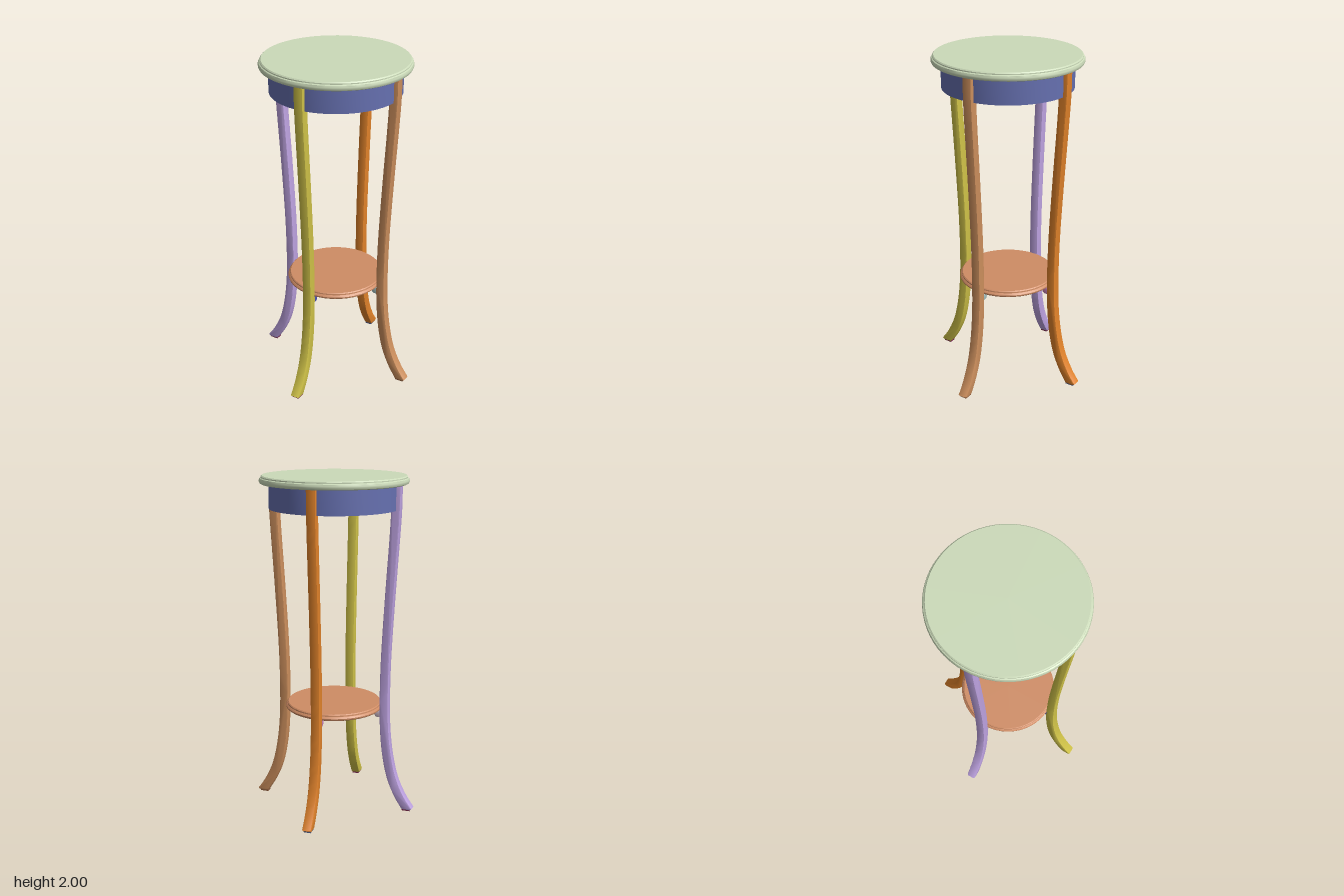
import * as THREE from 'three';
import { toCreasedNormals } from 'three/addons/utils/BufferGeometryUtils.js';

const V = (x, y) => new THREE.Vector2(x, y);
const SEGMENTS = 64;

function addMesh(parent, name, geometry, color) {
  const mesh = new THREE.Mesh(geometry, new THREE.MeshStandardMaterial({ color }));
  mesh.name = name;
  parent.add(mesh);
  return mesh;
}

// Turned part from [radius, height] pairs, listed from the bottom up
function turned(points) {
  const lathe = new THREE.LatheGeometry(points.map(([r, y]) => V(r, y)), SEGMENTS);
  return toCreasedNormals(lathe, 0.6);
}

// Side profile given a width, with chamfered long edges, centred on z = 0
function slab(points, width, bevel) {
  const geometry = new THREE.ExtrudeGeometry(new THREE.Shape(points), {
    depth: width - 2 * bevel,
    bevelEnabled: true,
    bevelThickness: bevel,
    bevelSize: bevel,
    bevelOffset: -bevel,
    bevelSegments: 2,
  });
  geometry.translate(0, 0, bevel - width / 2);
  return toCreasedNormals(geometry, 0.4);
}

// Sabre leg: outer and inner edges are smooth curves
function legGeometry() {
  const outer = new THREE.SplineCurve([
    V(0.502, 0.016), V(0.452, 0.09), V(0.402, 0.2), V(0.369, 0.34), V(0.35, 0.5),
    V(0.344, 0.68), V(0.348, 0.95), V(0.366, 1.3), V(0.388, 1.65), V(0.397, 1.82), V(0.398, 1.955),
  ]).getPoints(44);
  const inner = new THREE.SplineCurve([
    V(0.345, 1.955), V(0.344, 1.82), V(0.336, 1.65), V(0.314, 1.3), V(0.296, 0.95),
    V(0.291, 0.68), V(0.296, 0.5), V(0.312, 0.34), V(0.342, 0.2), V(0.388, 0.09), V(0.438, 0.008),
  ]).getPoints(44);
  return slab([...outer, ...inner, V(0.488, 0.006)], 0.055, 0.007);
}

// Small support block with a rounded lower inner corner
function blockGeometry() {
  const points = [V(0.298, 0.62), V(0.258, 0.62), V(0.258, 0.603)];
  for (let i = 1; i <= 6; i++) {
    const a = (i / 6) * Math.PI / 2;
    points.push(V(0.28 - 0.022 * Math.cos(a), 0.603 - 0.023 * Math.sin(a)));
  }
  points.push(V(0.298, 0.58));
  return slab(points.reverse(), 0.046, 0.004);
}

export function createModel() {
  const model = new THREE.Group();
  model.name = 'pedestalTable';

  // Round top with a rounded rim and a small step
  addMesh(model, 'tableTop', turned([
    [0, 1.953], [0.418, 1.953], [0.425, 1.957], [0.429, 1.966], [0.429, 1.974],
    [0.425, 1.984], [0.419, 1.988], [0.419, 1.994], [0.413, 2], [0, 2],
  ]), 0xcbdab9);

  // Apron with a recessed underside
  addMesh(model, 'apron', turned([
    [0, 1.85], [0.36, 1.85], [0.36, 1.812], [0.375, 1.812], [0.375, 1.955], [0, 1.955],
  ]), 0x6670b0);

  // Lower shelf, stepped like the top
  addMesh(model, 'shelf', turned([
    [0, 0.618], [0.284, 0.618], [0.291, 0.624], [0.292, 0.632], [0.288, 0.639],
    [0.282, 0.642], [0.281, 0.649], [0.276, 0.654], [0, 0.654],
  ]), 0xcf8c64);

  // Four legs, each with its shelf support and foot pad
  const leg = legGeometry();
  const block = blockGeometry();
  const pad = new THREE.BoxGeometry(0.05, 0.01, 0.042).translate(0.463, 0.005, 0);
  const sides = [
    ['left', 0, 0xcb8e5c, 0xa9c4c2, 0x8a5a3c],
    ['front', -Math.PI / 2, 0xcdc047, 0x4a50b8, 0x7a2450],
    ['right', Math.PI, 0xbda2e0, 0xcdb9c4, 0x7a2a4a],
    ['back', Math.PI / 2, 0xe0822a, 0xc77fb4, 0x50608c],
  ];
  for (const [side, angle, legColor, blockColor, padColor] of sides) {
    const group = new THREE.Group();
    group.name = side + 'LegAssembly';
    group.rotation.y = angle;
    addMesh(group, side + 'Leg', leg, legColor);
    addMesh(group, side + 'ShelfSupport', block, blockColor);
    addMesh(group, side + 'FootPad', pad, padColor);
    model.add(group);
  }
  return model;
}
